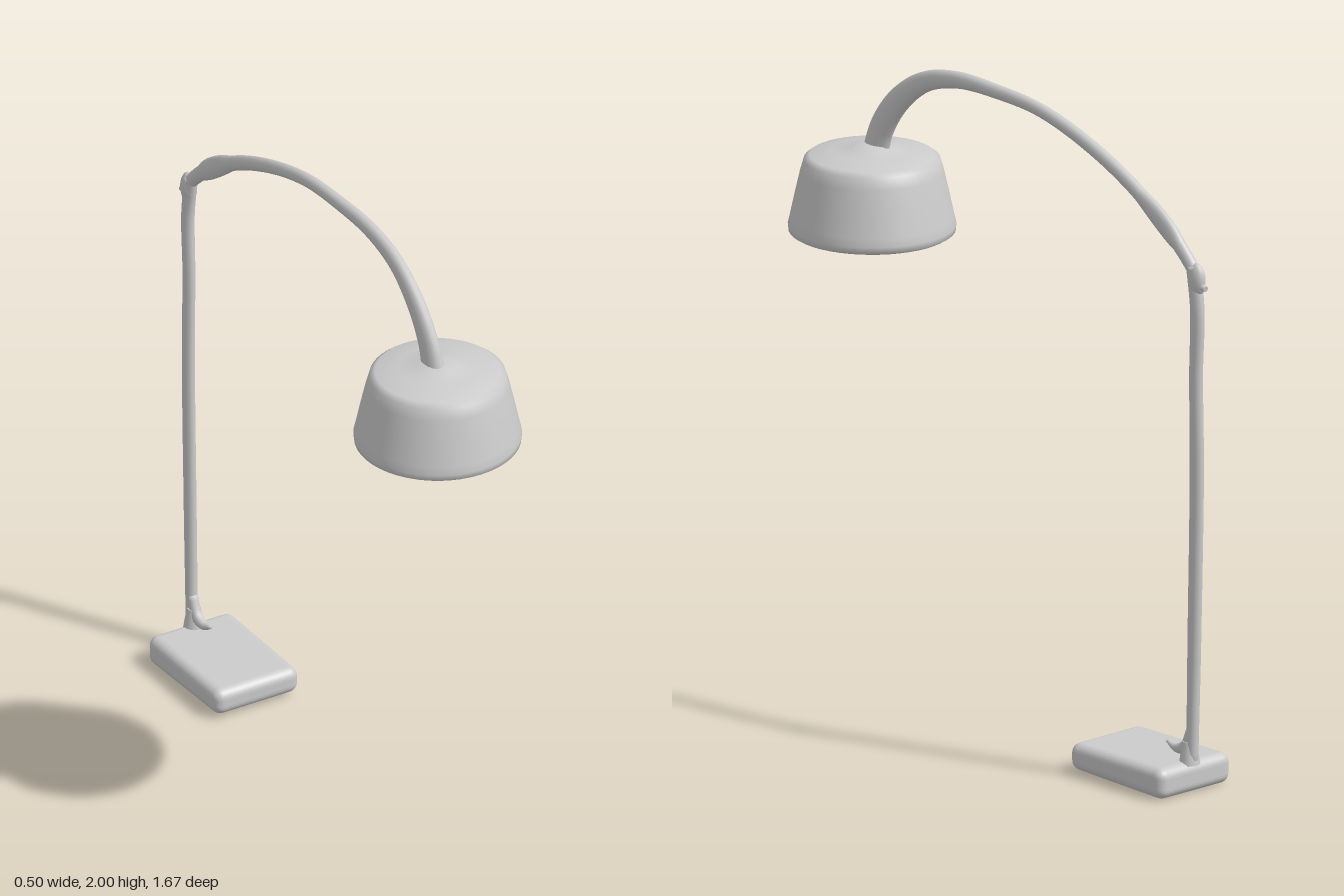
import * as THREE from 'three';
import { RoundedBoxGeometry } from 'three/addons/geometries/RoundedBoxGeometry.js';

const material = new THREE.MeshStandardMaterial({ color: 0xcccccc, side: THREE.DoubleSide });
const POLE_X = -0.015;

function part(name, geometry, x = 0, y = 0, z = 0) {
  const mesh = new THREE.Mesh(geometry, material);
  mesh.name = name;
  mesh.position.set(x, y, z);
  return mesh;
}

// Tube in the YZ plane; each point is [z, y, half width in x, half depth across the bend]
function taperedTube(points, steps = 60, sides = 14) {
  const curve = new THREE.CatmullRomCurve3(points.map(([z, y]) => new THREE.Vector3(POLE_X, y, z)));
  const sizes = new THREE.CatmullRomCurve3(points.map((p) => new THREE.Vector3(p[2], p[3], 0)));
  const positions = [], indices = [];
  for (let i = 0; i <= steps; i++) {
    const t = i / steps;
    const c = curve.getPoint(t), d = curve.getTangent(t), s = sizes.getPoint(t);
    for (let j = 0; j < sides; j++) {
      const a = (j / sides) * Math.PI * 2;
      const u = Math.cos(a) * s.x, v = Math.sin(a) * s.y;
      positions.push(c.x + u, c.y + d.z * v, c.z - d.y * v);
      if (i < steps) {
        const k = i * sides + j, n = i * sides + (j + 1) % sides;
        indices.push(k, n, k + sides, n, n + sides, k + sides);
      }
    }
  }
  // End caps
  for (const [row, flip] of [[0, true], [steps, false]]) {
    const c = curve.getPoint(row / steps), centre = positions.length / 3;
    positions.push(c.x, c.y, c.z);
    for (let j = 0; j < sides; j++) {
      const k = row * sides + j, n = row * sides + (j + 1) % sides;
      indices.push(centre, flip ? n : k, flip ? k : n);
    }
  }
  const geometry = new THREE.BufferGeometry();
  geometry.setAttribute('position', new THREE.Float32BufferAttribute(positions, 3));
  geometry.setIndex(indices);
  geometry.computeVertexNormals();
  return geometry;
}

export function createModel() {
  const lamp = new THREE.Group();
  lamp.name = 'arcFloorLamp';

  // Base slab, thinner towards the front
  const slab = new RoundedBoxGeometry(0.29, 0.095, 0.4, 4, 0.03);
  const p = slab.attributes.position;
  for (let i = 0; i < p.count; i++) {
    const front = (p.getZ(i) + 0.2) / 0.4;
    if (p.getY(i) < 0) p.setY(i, p.getY(i) + 0.012 * front);
  }
  slab.computeVertexNormals();
  lamp.add(part('base', slab, -0.02, 0.0525, -0.59));

  // Foot collar with a small brace leaning forward onto the slab
  lamp.add(part('footCollar', new THREE.CylinderGeometry(0.021, 0.032, 0.07, 14), POLE_X, 0.125, -0.765));
  lamp.add(part('footBrace', taperedTube([
    [-0.67, 0.14, 0.006, 0.005], [-0.71, 0.127, 0.014, 0.014],
    [-0.75, 0.14, 0.017, 0.02], [-0.775, 0.2, 0.016, 0.016],
  ], 14)));

  // Upright pole, very slightly bowed backwards
  lamp.add(part('pole', taperedTube([
    [-0.776, 0.09, 0.018, 0.018], [-0.786, 0.5, 0.018, 0.023], [-0.796, 1.0, 0.018, 0.024],
    [-0.793, 1.3, 0.018, 0.023], [-0.798, 1.5, 0.019, 0.024], [-0.78, 1.63, 0.018, 0.024],
  ])));

  // Joint between pole and arm, with its rear peg
  const joint = part('joint', new THREE.SphereGeometry(1, 16, 12), POLE_X, 1.59, -0.795);
  joint.scale.set(0.022, 0.052, 0.032);
  lamp.add(joint);
  const peg = part('jointPeg', new THREE.CylinderGeometry(0.009, 0.018, 0.05, 10), POLE_X, 1.575, -0.81);
  peg.rotation.x = -Math.PI / 2 - 0.2;
  lamp.add(peg);

  // Arched arm, thickening where it drops into the shade
  lamp.add(part('arm', taperedTube([
    [-0.8, 1.6, 0.018, 0.02], [-0.72, 1.68, 0.018, 0.023], [-0.55, 1.8, 0.018, 0.023],
    [-0.35, 1.895, 0.018, 0.022], [-0.13, 1.96, 0.018, 0.021], [0.06, 1.976, 0.019, 0.022],
    [0.24, 1.973, 0.02, 0.026], [0.38, 1.934, 0.021, 0.032], [0.49, 1.852, 0.024, 0.039],
    [0.56, 1.755, 0.026, 0.044], [0.59, 1.67, 0.03, 0.046],
  ], 80)));

  // Drum shade: outer wall, rim and shallow hollow underneath
  const profile = [
    [0.0, 1.7], [0.045, 1.7], [0.06, 1.688], [0.12, 1.68], [0.185, 1.668], [0.202, 1.655],
    [0.212, 1.62], [0.228, 1.55], [0.243, 1.48], [0.249, 1.455], [0.247, 1.437], [0.236, 1.43],
    [0.222, 1.436], [0.205, 1.47], [0.175, 1.5], [0.1, 1.522], [0, 1.528],
  ].map(([r, y]) => new THREE.Vector2(r, y)).reverse();
  lamp.add(part('shade', new THREE.LatheGeometry(profile, 48), 0, 0, 0.588));

  return lamp;
}
